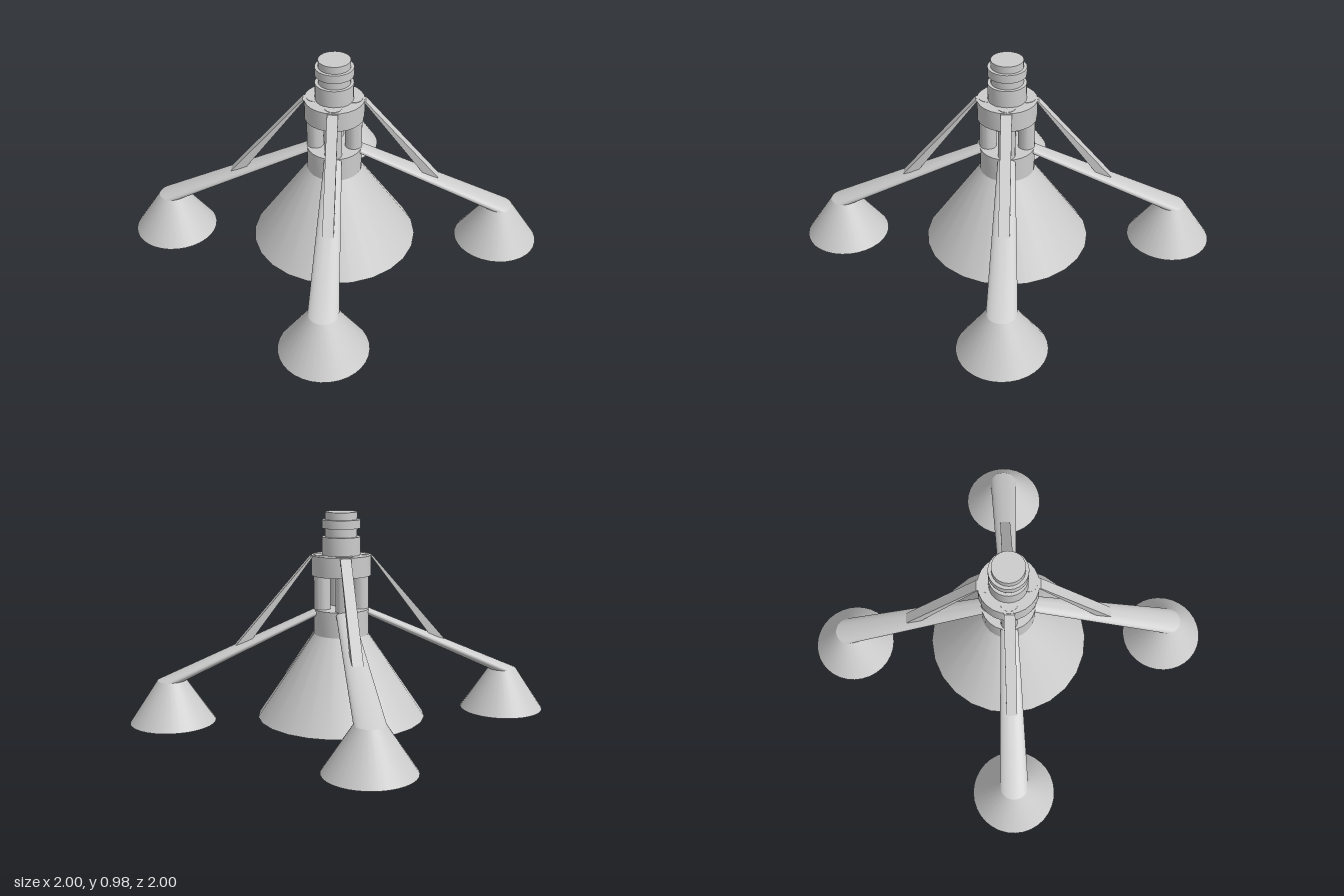
import * as THREE from 'three';
import { toCreasedNormals } from 'three/addons/utils/BufferGeometryUtils.js';

const material = new THREE.MeshStandardMaterial({ color: 0xcccccc });

function mesh(name, geometry, crease = 0.5) {
  const m = new THREE.Mesh(toCreasedNormals(geometry, crease), material);
  m.name = name;
  return m;
}

// Solid of revolution from [radius, height] pairs, listed bottom to top on the outside
function lathe(name, points, segments = 24) {
  return mesh(name, new THREE.LatheGeometry(points.map(([r, y]) => new THREE.Vector2(r, y)), segments));
}

// Slanted arm: a tapered cylinder sheared so that both ends stay level
function createArm() {
  const geometry = new THREE.CylinderGeometry(0.04, 0.067, 0.32, 32, 1, true);
  const p = geometry.attributes.position;
  for (let i = 0; i < p.count; i++) {
    const y = p.getY(i);
    p.setXY(i, p.getX(i) + 0.445 - y * (0.71 / 0.32), y + 0.36);
  }
  geometry.computeVertexNormals();
  return mesh('arm', geometry, 0.9);
}

// Brace: a thin wedge widening from the collar down to the arm
function createBrace() {
  const shape = new THREE.Shape([
    new THREE.Vector2(0.135, 0.772),
    new THREE.Vector2(0.425, 0.385),
    new THREE.Vector2(0.5, 0.36),
    new THREE.Vector2(0.145, 0.772),
  ]);
  const geometry = new THREE.ExtrudeGeometry(shape, { depth: 0.05, bevelEnabled: false });
  geometry.translate(0, 0, -0.025);
  return mesh('brace', geometry);
}

export function createModel() {
  const model = new THREE.Group();
  model.name = 'nozzleCluster';

  // Hollow central bell with its short neck
  model.add(lathe('mainBell', [
    [0, 0.39], [0.08, 0.39], [0.352, 0], [0.4, 0], [0.13, 0.4], [0.13, 0.52], [0, 0.52],
  ]));

  // Collar carried by the posts
  model.add(lathe('collar', [[0, 0.68], [0.14, 0.68], [0.14, 0.775], [0, 0.775]]));

  // Stepped cap
  model.add(lathe('cap', [
    [0, 0.775], [0.09, 0.775], [0.09, 0.86], [0.075, 0.86], [0.075, 0.9],
    [0.09, 0.9], [0.09, 0.94], [0.075, 0.94], [0.075, 0.975], [0, 0.975],
  ]));

  // Four identical outriggers
  for (let i = 0; i < 4; i++) {
    const outrigger = new THREE.Group();
    outrigger.name = 'outrigger';
    outrigger.rotation.y = (i * Math.PI) / 2;

    const bell = lathe('smallBell', [
      [0, 0.19], [0.045, 0.19], [0.172, 0], [0.2, 0], [0.067, 0.2], [0, 0.2],
    ], 32);
    bell.position.x = 0.8;

    const post = lathe('post', [[0, 0.52], [0.04, 0.52], [0.04, 0.777], [0, 0.777]]);
    post.position.x = 0.09;

    outrigger.add(bell, post, createArm(), createBrace());
    model.add(outrigger);
  }
  return model;
}
